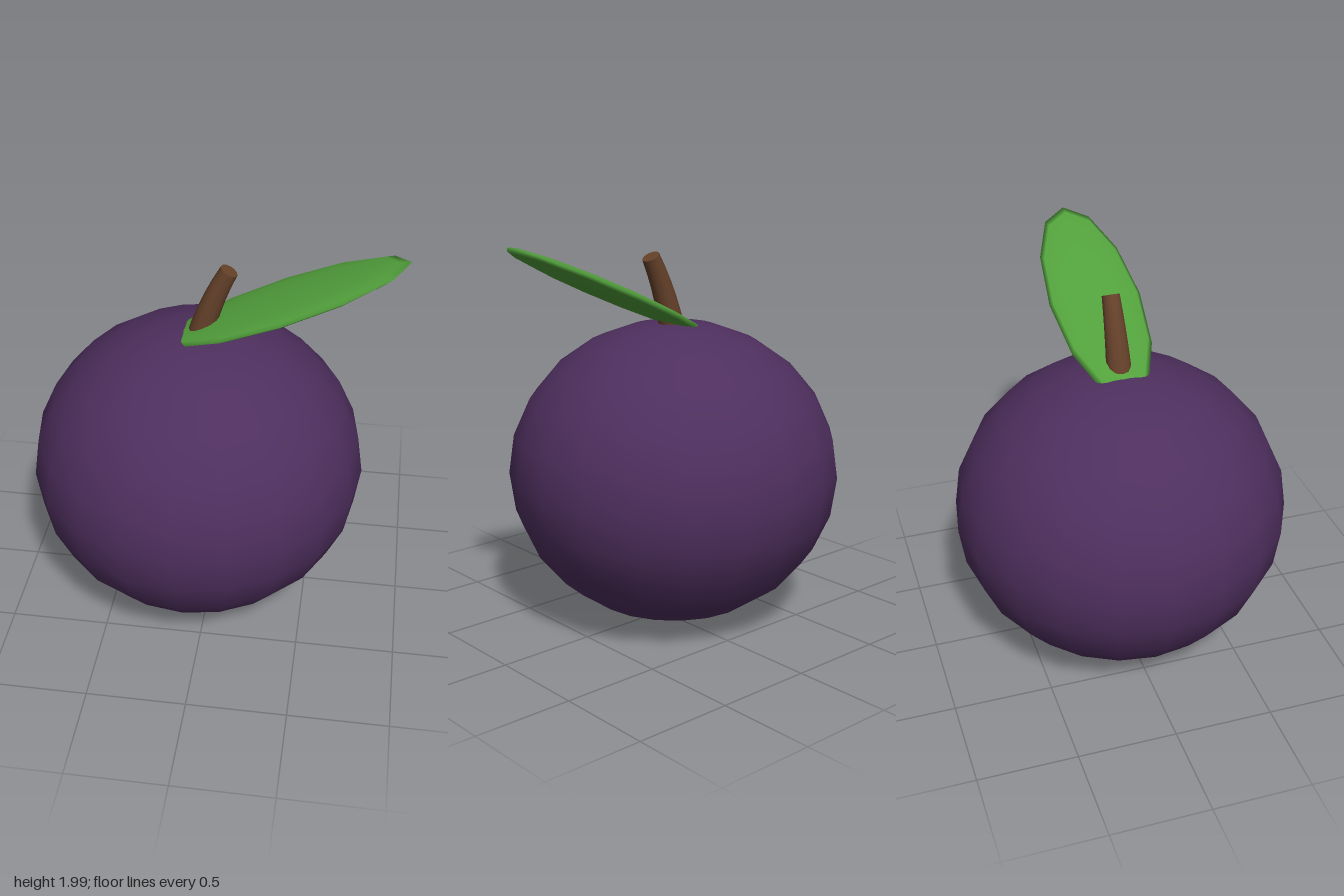
import * as THREE from 'three';

const material = (name, color) => Object.assign(new THREE.MeshStandardMaterial({ color }), { name });

// Tapered cylinder bent along a curve lying in the xy plane
function bentStem(curve, rBottom, rTop, sides, rings) {
  const geo = new THREE.CylinderGeometry(rTop, rBottom, 1, sides, rings);
  const pos = geo.attributes.position;
  for (let i = 0; i < pos.count; i++) {
    const t = THREE.MathUtils.clamp(pos.getY(i) + 0.5, 0, 1);
    const p = curve.getPoint(t);
    const d = curve.getTangent(t);
    const x = pos.getX(i);
    pos.setXY(i, p.x + d.y * x, p.y - d.x * x);
  }
  geo.computeVertexNormals();
  return geo;
}

export function createModel() {
  const model = new THREE.Group();
  model.name = 'plum';

  const add = (name, geo, mat) => {
    const mesh = new THREE.Mesh(geo, mat);
    mesh.name = name;
    model.add(mesh);
    return mesh;
  };

  // Slightly squashed round fruit
  const fruit = add('fruit', new THREE.SphereGeometry(1, 20, 12), material('plum purple', 0x4e2f5e));
  fruit.scale.set(0.845, 0.774, 0.845);
  fruit.position.set(-0.08, 0.779, 0);

  // Stem leaning towards the leaf
  const curve = new THREE.QuadraticBezierCurve3(
    new THREE.Vector3(-0.09, 1.42, 0),
    new THREE.Vector3(-0.04, 1.68, 0),
    new THREE.Vector3(0.072, 1.888, 0)
  );
  add('stem', bentStem(curve, 0.07, 0.045, 12, 6), material('bark brown', 0x65412a));

  // Flattened, tilted leaf with its base sunk into the fruit
  const leaf = add('leaf', new THREE.SphereGeometry(1, 12, 8), material('leaf green', 0x52a03c));
  leaf.scale.set(0.635, 0.036, 0.235);
  leaf.rotation.z = THREE.MathUtils.degToRad(24.1);
  leaf.position.set(0.335, 1.74, 0);

  return model;
}
